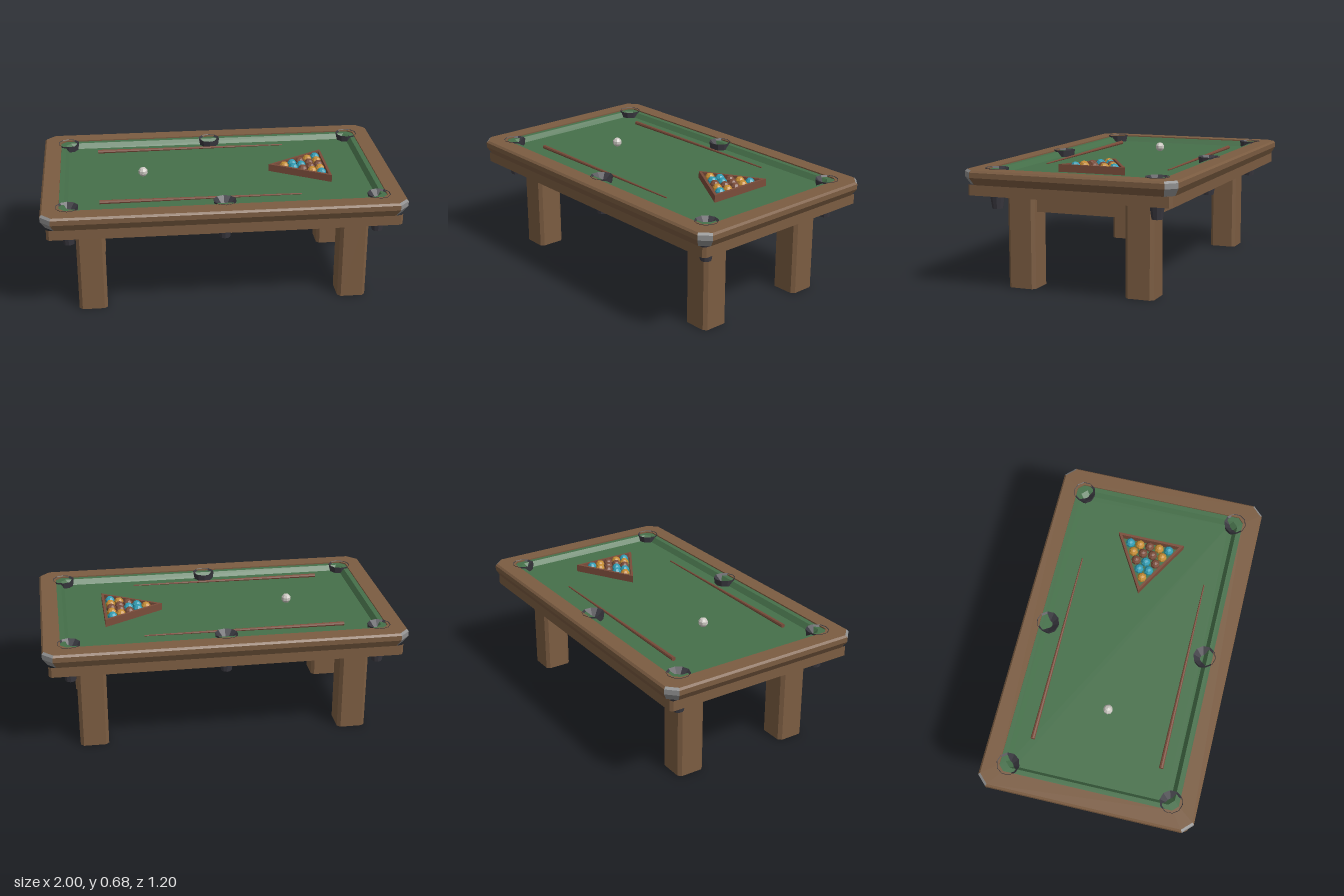
import * as THREE from 'three';

const colour = (name, hex) => {
  const m = new THREE.MeshStandardMaterial({ color: hex, flatShading: true });
  m.name = name;
  return m;
};

// Ring = [half width, half depth, corner cut, y]: a rectangle with cut corners
function ringPoints([w, d, c, y]) {
  return [
    [w, d - c], [w, c - d], [w - c, -d], [c - w, -d],
    [-w, c - d], [-w, d - c], [c - w, d], [w - c, d],
  ].map(([x, z]) => [x, y, z]);
}

// Skins a stack of rings; sides picks the walls (even = straight, odd = corner)
function loft(rings, { sides = () => true, bottom = false, top = false } = {}) {
  const loops = rings.map(ringPoints);
  const pos = [];
  const tri = (a, b, c) => pos.push(...a, ...b, ...c);
  for (let r = 0; r < loops.length - 1; r++) {
    for (let i = 0; i < 8; i++) {
      if (!sides(i)) continue;
      const j = (i + 1) % 8;
      tri(loops[r][i], loops[r][j], loops[r + 1][j]);
      tri(loops[r][i], loops[r + 1][j], loops[r + 1][i]);
    }
  }
  const last = loops[loops.length - 1];
  for (let i = 1; i < 7; i++) {
    if (bottom) tri(loops[0][0], loops[0][i + 1], loops[0][i]);
    if (top) tri(last[0], last[i], last[i + 1]);
  }
  const g = new THREE.BufferGeometry();
  g.setAttribute('position', new THREE.Float32BufferAttribute(pos, 3));
  g.computeVertexNormals();
  return g;
}

export function createModel() {
  const wood = colour('wood', 0x7b5c41);
  const cloth = colour('greenCloth', 0x46704a);
  const metal = colour('cornerMetal', 0x8e8e8e);
  const leather = colour('pocketLeather', 0x39383f);
  const redWood = colour('redWood', 0x7a4c3a);
  const amber = colour('amberBall', 0xc48c34);
  const blue = colour('blueBall', 0x2f9bb2);
  const white = colour('cueBall', 0xcac6c0);

  const model = new THREE.Group();
  model.name = 'poolTable';
  const add = (name, geometry, material, x = 0, y = 0, z = 0, parent = model) => {
    const mesh = new THREE.Mesh(geometry, material);
    mesh.name = name;
    mesh.position.set(x, y, z);
    parent.add(mesh);
    return mesh;
  };

  const bed = 0.622;

  // Table frame, moulded rail and metal corners
  add('frame', loft([[0.97, 0.575, 0.015, 0.52], [0.97, 0.575, 0.015, 0.578]], { bottom: true }), wood);
  const edge = [
    [0.972, 0.577, 0.045, 0.577], [1, 0.6, 0.055, 0.618],
    [1, 0.6, 0.055, 0.646], [0.99, 0.59, 0.052, 0.657],
  ];
  add('railEdge', loft(edge, { sides: (i) => i % 2 === 0, bottom: true }), wood);
  add('metalCorners', loft(edge, { sides: (i) => i % 2 === 1 }), metal);
  add('railTop', loft([edge[3], [0.9, 0.5, 0.03, 0.657], [0.9, 0.5, 0.03, 0.648]]), wood);

  // Cushions and playing bed
  const nose = [0.852, 0.45, 0.03, bed];
  add('cushions', loft([[0.9, 0.5, 0.03, 0.65], [0.872, 0.472, 0.03, 0.65], nose]), cloth);
  add('bed', loft([nose], { top: true }), cloth);

  // Six tapered pocket cups with a sunken centre
  const cup = new THREE.LatheGeometry([
    [0, 0.44], [0.03, 0.44], [0.064, 0.66], [0, 0.6],
  ].map(([x, y]) => new THREE.Vector2(x, y)), 10);
  for (const x of [-0.855, 0, 0.855]) {
    for (const z of [-0.455, 0.455]) add('pocket', cup, leather, x, 0, z);
  }

  // Legs with cut corners, joined by stretchers
  const leg = loft([[0.08, 0.08, 0.018, 0], [0.08, 0.08, 0.018, 0.525]], { bottom: true });
  const longBeam = new THREE.BoxGeometry(1.34, 0.105, 0.08);
  const shortBeam = new THREE.BoxGeometry(0.08, 0.105, 0.54);
  for (const s of [-1, 1]) {
    for (const z of [-0.34, 0.34]) add('leg', leg, wood, s * 0.74, 0, z);
    add('longStretcher', longBeam, wood, 0, 0.4725, s * 0.34);
    add('shortStretcher', shortBeam, wood, s * 0.74, 0.4725, 0);
  }

  // Cues lying on the bed, butt towards -x
  const cue = new THREE.CylinderGeometry(0.004, 0.012, 1.12, 8).rotateZ(-Math.PI / 2);
  for (const z of [-0.365, 0.36]) add('cue', cue, redWood, -0.12, bed + 0.012, z);

  // Triangular rack; the shape's y becomes -z
  const triangle = (T, apex, base, half) => {
    const t = new T();
    t.moveTo(apex, 0);
    t.lineTo(base, -half);
    t.lineTo(base, half);
    t.closePath();
    return t;
  };
  const rackShape = triangle(THREE.Shape, 0.305, 0.642, 0.195);
  rackShape.holes.push(triangle(THREE.Path, 0.333, 0.628, 0.17));
  const rack = new THREE.ExtrudeGeometry(rackShape, { depth: 0.042, bevelEnabled: false });
  add('rack', rack.rotateX(-Math.PI / 2), redWood, 0, bed, 0);

  // Balls: racked rows plus the cue ball
  const ball = new THREE.SphereGeometry(0.028, 8, 5);
  const rows = [
    [amber],
    [blue, blue],
    [redWood, blue, redWood],
    [amber, redWood, redWood, amber],
    [blue, amber, redWood, amber, blue],
  ];
  rows.forEach((row, r) => row.forEach((mat, i) => {
    add('rackedBall', ball, mat, 0.397 + r * 0.05, bed + 0.027, (i - r / 2) * 0.057);
  }));
  add('cueBall', ball, white, -0.425, bed + 0.027, 0);

  return model;
}
